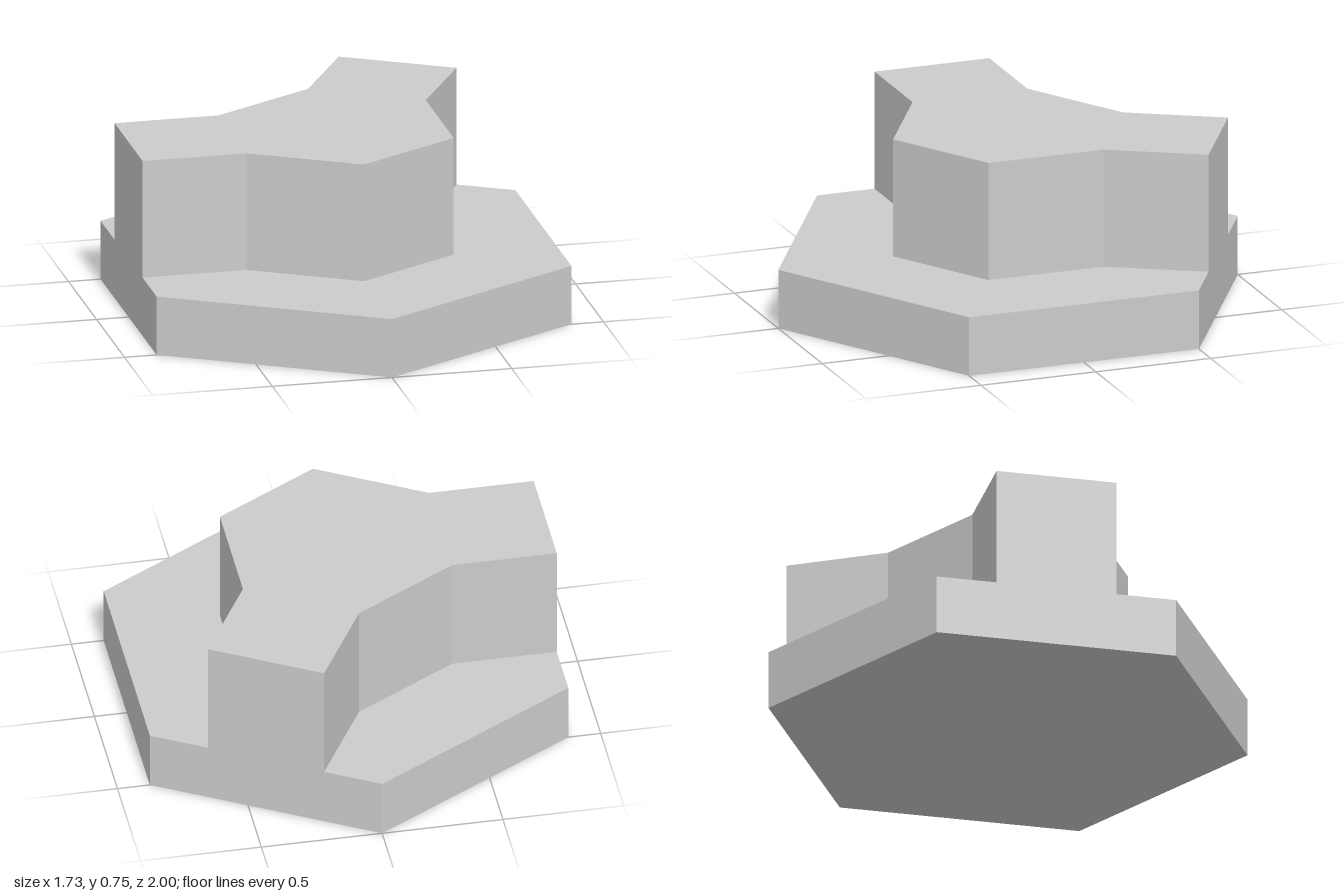
import * as THREE from 'three';

const R = Math.sqrt(3) / 2; // hexagon apothem for a corner radius of 1

// Extrudes a plan outline of [x, z] points upward from height y
function slab(name, plan, y, height, material) {
  const shape = new THREE.Shape(plan.map(([x, z]) => new THREE.Vector2(x, -z)));
  const geometry = new THREE.ExtrudeGeometry(shape, { depth: height, bevelEnabled: false });
  geometry.rotateX(-Math.PI / 2);
  const mesh = new THREE.Mesh(geometry, material);
  mesh.name = name;
  mesh.position.y = y;
  return mesh;
}

export function createModel() {
  const group = new THREE.Group();
  group.name = 'hexTile';
  const material = new THREE.MeshStandardMaterial({ color: 0xcccccc, flatShading: true });

  // Hexagonal base with corners toward the front and back
  const hexagon = [];
  for (let i = 0; i < 6; i++) {
    const a = (i * Math.PI) / 3;
    hexagon.push([Math.sin(a), Math.cos(a)]);
  }
  group.add(slab('base', hexagon, 0, 0.25, material));

  // Raised half-size hexagon with arms to the right edge and the back left edge
  const raised = [
    [0, 0.5], [R / 2, 0.25], [R / 2, -0.25],
    [R * 0.75, -0.625], [R * 0.25, -0.875], // back left arm end
    [0, -0.5], [-R / 2, -0.25],
    [-R, -0.25], [-R, 0.25], // right arm end
    [-R / 2, 0.25],
  ];
  group.add(slab('raisedPath', raised, 0.25, 0.5, material));

  return group;
}
